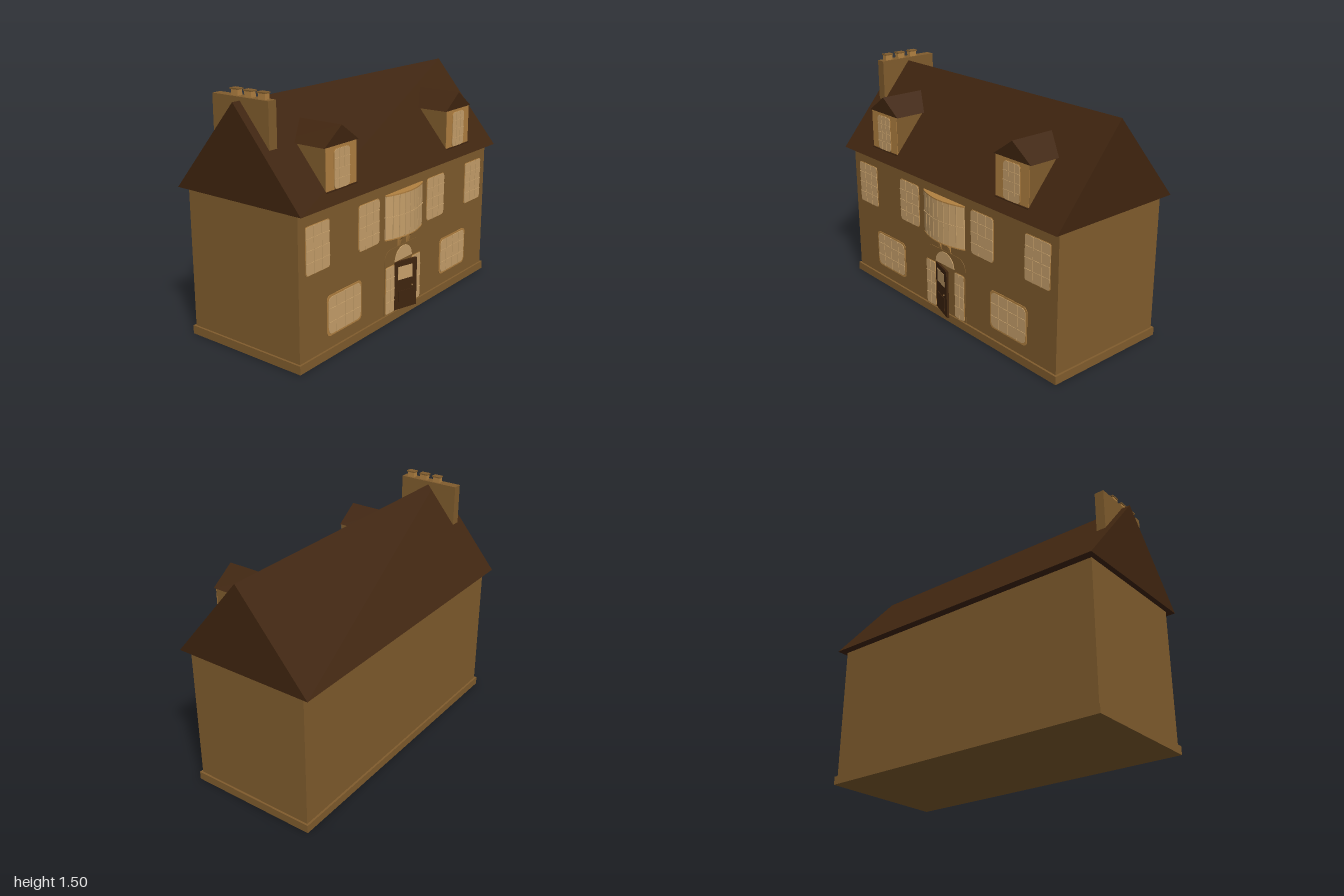
import * as THREE from 'three';

const mat = (name, color) => {
  const m = new THREE.MeshStandardMaterial({ color });
  m.name = name;
  return m;
};

export function createModel() {
  const house = new THREE.Group();
  house.name = 'house';
  const wall = mat('wallBrown', 0x805c2d);
  const dark = mat('roofDarkBrown', 0x40250f);
  const cream = mat('paneCream', 0xc8a16b);
  const tan = mat('trimTan', 0xb28141);
  const FRONT = 0.405;

  const add = (name, geo, material, parent = house) => {
    const mesh = new THREE.Mesh(geo, material);
    mesh.name = name;
    parent.add(mesh);
    return mesh;
  };
  // Box given by its minimum and maximum corners
  const box = (name, material, x0, x1, y0, y1, z0, z1, parent) => {
    const mesh = add(name, new THREE.BoxGeometry(x1 - x0, y1 - y0, z1 - z0), material, parent);
    mesh.position.set((x0 + x1) / 2, (y0 + y1) / 2, (z0 + z1) / 2);
    return mesh;
  };
  const extrude = (shape, depth) =>
    new THREE.ExtrudeGeometry(shape, { depth, bevelEnabled: false, curveSegments: 10 });
  const polygon = pts => new THREE.Shape(pts.map(p => new THREE.Vector2(...p)));
  // Rectangle with separately rounded top and bottom corners
  const rounded = (x0, x1, y0, y1, r, rb = r) => {
    const s = new THREE.Shape();
    s.moveTo(x0 + rb, y0);
    s.lineTo(x1 - rb, y0);
    s.quadraticCurveTo(x1, y0, x1, y0 + rb);
    s.lineTo(x1, y1 - r);
    s.quadraticCurveTo(x1, y1, x1 - r, y1);
    s.lineTo(x0 + r, y1);
    s.quadraticCurveTo(x0, y1, x0, y1 - r);
    s.lineTo(x0, y0 + rb);
    s.quadraticCurveTo(x0, y0, x0 + rb, y0);
    return s;
  };
  const plate = (name, material, shape, z, depth, parent) => {
    add(name, extrude(shape, depth), material, parent).position.z = z;
  };

  // Plinth and walls
  box('plinth', wall, -0.98, 0.98, 0, 0.052, -0.418, 0.418);
  box('walls', wall, -0.967, 0.967, 0.04, 0.91, -FRONT, FRONT);

  // Main roof: solid gabled prism
  const roof = add('mainRoof', extrude(polygon([[-0.458, 0.905], [0.458, 0.905], [0, 1.445]]), 2), dark);
  roof.rotation.y = Math.PI / 2;
  roof.position.x = -1;

  // Chimney stack with three capped pots
  const chimney = new THREE.Group();
  chimney.name = 'chimney';
  house.add(chimney);
  box('chimneyStack', wall, -0.945, -0.885, 1.15, 1.465, -0.203, 0.203, chimney);
  for (const z of [-0.05, 0.048, 0.145]) {
    box('chimneyPot', tan, -0.932, -0.898, 1.46, 1.498, z - 0.025, z + 0.025, chimney);
    box('potCap', wall, -0.936, -0.894, 1.497, 1.505, z - 0.03, z + 0.03, chimney);
  }

  // Flat window with trim, pane and raised glazing bars
  const windowAt = (name, cx, w, y0, y1, r, border, cols, rows, z = FRONT, parent = house) => {
    const g = new THREE.Group();
    g.name = name;
    g.position.x = cx;
    parent.add(g);
    const h = w / 2, b = border;
    plate('windowTrim', tan, rounded(-h, h, y0, y1, r), z - 0.001, 0.004, g);
    plate('windowPane', cream, rounded(-h + b, h - b, y0 + b, y1 - b, r), z, 0.006, g);
    for (let i = 1; i < cols; i++) {
      const x = -h + w * i / cols;
      box('glazingBar', cream, x - 0.003, x + 0.003, y0 + b, y1 - b, z, z + 0.009, g);
    }
    for (let j = 1; j < rows; j++) {
      const y = y0 + (y1 - y0) * j / rows;
      box('glazingBar', cream, -h + b, h - b, y - 0.003, y + 0.003, z, z + 0.009, g);
    }
  };

  for (const s of [-1, 1]) {
    windowAt('upperOuterWindow', s * 0.81, 0.2, 0.542, 0.82, 0.015, 0.003, 3, 4);
    windowAt('upperInnerWindow', s * 0.351, 0.2, 0.542, 0.82, 0.025, 0.003, 3, 4);
    windowAt('groundWindow', s * 0.578, 0.315, 0.125, 0.372, 0.035, 0.012, 4, 3);

    // Dormer
    const dormer = new THREE.Group();
    dormer.name = 'dormer';
    dormer.position.x = s * 0.6;
    house.add(dormer);
    box('dormerWalls', wall, -0.133, 0.133, 0.962, 1.212, 0.12, 0.402, dormer);
    box('dormerFront', tan, -0.133, 0.133, 0.965, 1.21, 0.4, 0.405, dormer);
    box('dormerSill', dark, -0.135, 0.135, 0.958, 0.966, 0.35, 0.411, dormer);
    plate('dormerRoof', dark, polygon([[-0.148, 1.208], [0.148, 1.208], [0, 1.312]]), 0.1, 0.307, dormer);
    windowAt('dormerWindow', 0, 0.135, 0.967, 1.192, 0.025, 0.002, 3, 4, 0.405, dormer);

    // Sidelight beside the door
    windowAt('sidelight', s * 0.14, 0.092, 0.056, 0.362, 0.012, 0.003, 2, 4, 0.408);

    // Bracket under the bow window
    const profile = polygon([[0.4, 0.465], [0.407, 0.465], [0.42, 0.51], [0.452, 0.548], [0.4, 0.548]]);
    const bracket = add('bowBracket', extrude(profile, 0.024), tan);
    bracket.rotation.y = -Math.PI / 2;
    bracket.position.x = s * 0.047 + 0.012;
  }

  // Bow window: curved plan raised upwards
  const bow = new THREE.Group();
  bow.name = 'bowWindow';
  house.add(bow);
  const HALF = 0.193, N = 8;
  const bowZ = x => FRONT + 0.008 + 0.042 * (1 - (x / HALF) ** 2);
  const bowPart = (name, material, y0, y1, out) => {
    const pts = [[-HALF - out, -0.39], [HALF + out, -0.39]];
    for (let i = 0; i <= N; i++) {
      const x = HALF * (1 - 2 * i / N);
      pts.push([x * (1 + out / HALF), -bowZ(x) - out]);
    }
    const mesh = add(name, extrude(polygon(pts), y1 - y0), material, bow);
    mesh.rotation.x = -Math.PI / 2;
    mesh.position.y = y0;
  };
  bowPart('bowPanes', cream, 0.544, 0.812, 0);
  bowPart('bowTop', tan, 0.811, 0.819, 0.002);
  bowPart('bowSill', tan, 0.538, 0.545, 0.002);
  bowPart('bowMiddleRail', cream, 0.677, 0.684, 0.003);
  for (let i = 1; i < N; i++) {
    const x = HALF * (2 * i / N - 1);
    box('bowBar', cream, x - 0.003, x + 0.003, 0.545, 0.811, 0.4, bowZ(x) + 0.003, bow);
  }

  // Door surround and fanlight
  plate('doorSurround', wall, rounded(-0.195, 0.195, 0.052, 0.467, 0.08, 0), 0.402, 0.006);
  const fan = new THREE.Shape();
  fan.moveTo(0.09, 0.374);
  fan.absellipse(0, 0.374, 0.09, 0.085, 0, Math.PI, false);
  plate('fanlight', cream, fan, 0.404, 0.008);

  // Door standing ajar, hinged on the model's right
  const door = new THREE.Group();
  door.name = 'door';
  door.position.set(-0.092, 0, 0.408);
  door.rotation.y = -0.29;
  house.add(door);
  box('doorLeaf', dark, 0, 0.176, 0.056, 0.369, -0.012, 0.002, door);
  box('doorGlass', cream, 0.028, 0.14, 0.25, 0.335, -0.014, 0.004, door);
  box('doorPanel', dark, 0.03, 0.138, 0.085, 0.175, 0, 0.006, door);
  const knob = add('doorKnob', new THREE.SphereGeometry(0.006, 10, 8), wall, door);
  knob.position.set(0.138, 0.196, 0.006);

  return house;
}
